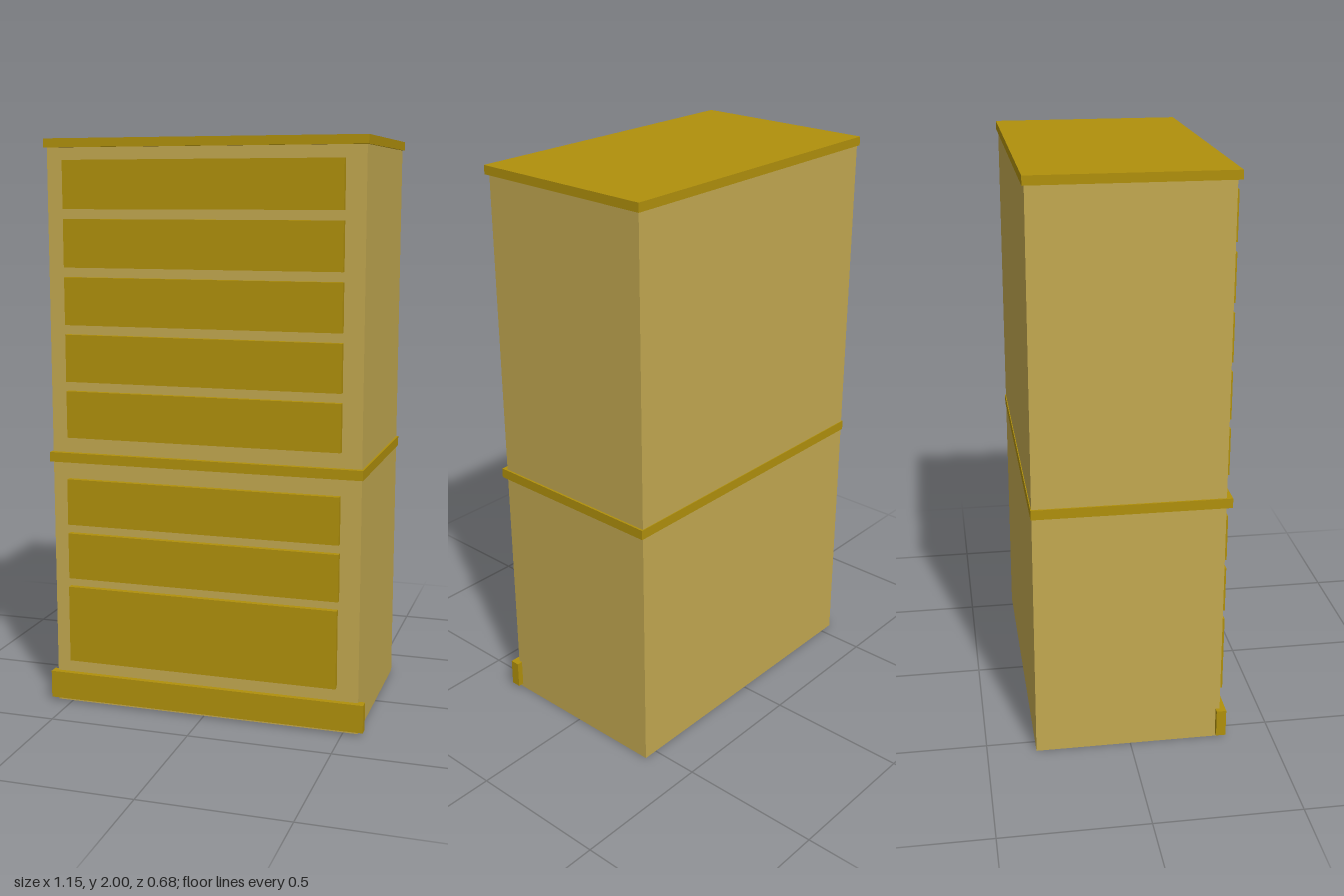
import * as THREE from 'three';

export function createModel() {
  const model = new THREE.Group();
  const paleWood = new THREE.MeshStandardMaterial({ color: 0xc2a850 });
  const darkWood = new THREE.MeshStandardMaterial({ color: 0xb0900c });

  // Box given by its extents on each axis
  function box(name, material, [x0, x1], [y0, y1], [z0, z1]) {
    const mesh = new THREE.Mesh(new THREE.BoxGeometry(x1 - x0, y1 - y0, z1 - z0), material);
    mesh.position.set((x0 + x1) / 2, (y0 + y1) / 2, (z0 + z1) / 2);
    mesh.name = name;
    model.add(mesh);
  }

  // Carcass, in two stacked halves
  box('lowerCabinet', paleWood, [-0.555, 0.551], [0, 0.886], [-0.33, 0.317]);
  box('upperCabinet', paleWood, [-0.555, 0.551], [0.92, 1.97], [-0.33, 0.317]);

  // Top board, waist moulding and front plinth
  box('topBoard', darkWood, [-0.561, 0.558], [1.97, 2], [-0.337, 0.332]);
  box('waistMoulding', darkWood, [-0.561, 0.558], [0.886, 0.92], [-0.333, 0.337]);
  box('plinth', darkWood, [-0.574, 0.572], [0.013, 0.111], [0.303, 0.337]);

  // Upper drawer fronts
  for (let i = 0; i < 5; i++) {
    const y = 0.975 + i * 0.1972;
    box('upperDrawer' + (i + 1), darkWood, [-0.492, 0.482], [y, y + 0.164], [0.31, 0.338]);
  }

  // Lower drawer fronts, the bottom one deeper
  box('deepDrawer', darkWood, [-0.498, 0.476], [0.159, 0.434], [0.31, 0.338]);
  for (let i = 0; i < 2; i++) {
    const y = 0.466 + i * 0.196;
    box('lowerDrawer' + (i + 1), darkWood, [-0.496, 0.48], [y, y + 0.164], [0.31, 0.338]);
  }

  return model;
}
